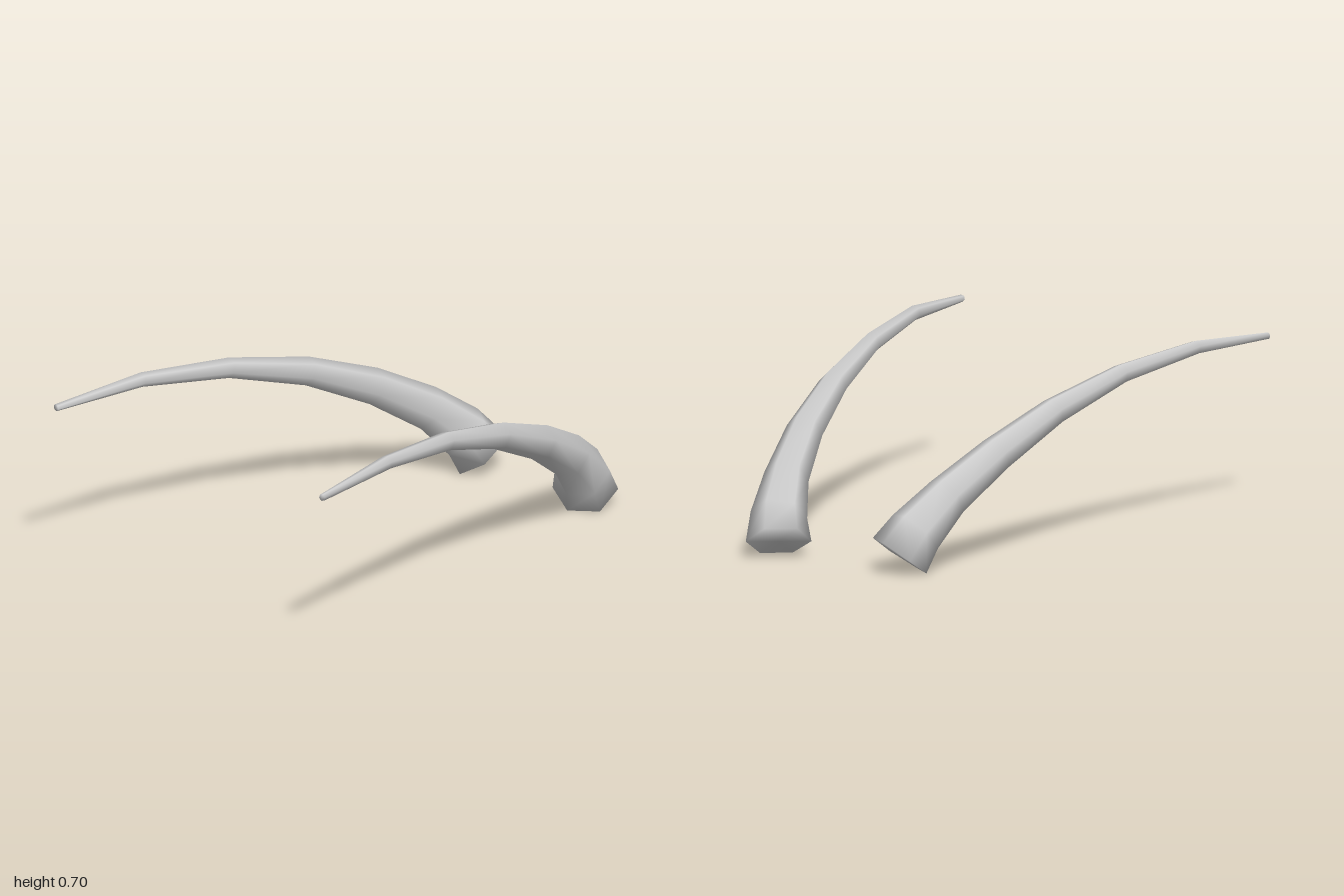
import * as THREE from 'three';

const SIDES = 6;

// Ring centres from the thick root to the slim tip, with the radius of each: x, y, z, r
const RINGS = [
  [0.275, 0.06, -0.895, 0.125],
  [0.31, 0.15, -0.84, 0.108],
  [0.365, 0.27, -0.705, 0.086],
  [0.435, 0.405, -0.475, 0.071],
  [0.5, 0.53, -0.18, 0.055],
  [0.568, 0.625, 0.18, 0.039],
  [0.64, 0.67, 0.585, 0.028],
  [0.695, 0.656, 0.998, 0.014],
];

// Sweeps a hexagon along the ring centres; side is 1 for left, -1 for right
function hornGeometry(side) {
  const centres = RINGS.map(([x, y, z]) => new THREE.Vector3(x, y, z));
  const last = RINGS.length - 1;
  const positions = [];
  const index = [];
  const add = (p) => positions.push(p.x * side, p.y, p.z);
  const face = (a, b, c) => (side > 0 ? index.push(a, b, c) : index.push(a, c, b));

  // Hexagon corners, carried along the curve without twisting
  const u = new THREE.Vector3(-0.78, 0, 0.63);
  centres.forEach((c, k) => {
    const before = centres[Math.max(k - 1, 0)];
    const after = centres[Math.min(k + 1, last)];
    const t = after.clone().sub(before).normalize();
    if (k === 0) t.set(0.37, 0.8, 0.48).normalize();
    u.addScaledVector(t, -u.dot(t)).normalize();
    const v = t.clone().cross(u);
    for (let i = 0; i < SIDES; i++) {
      const a = (i / SIDES) * Math.PI * 2;
      const r = RINGS[k][3];
      const p = c.clone().addScaledVector(u, r * Math.cos(a)).addScaledVector(v, r * Math.sin(a));
      p.y = Math.max(p.y, 0);
      add(p);
    }
  });

  // Side walls
  for (let k = 0; k < last; k++) {
    for (let i = 0; i < SIDES; i++) {
      const a = k * SIDES + i;
      const b = k * SIDES + ((i + 1) % SIDES);
      face(a, b, b + SIDES);
      face(a, b + SIDES, a + SIDES);
    }
  }

  // Root and tip caps share the wall corners, so the shading stays round
  const root = positions.length / 3;
  add(centres[0]);
  add(centres[last]);
  for (let i = 0; i < SIDES; i++) {
    const j = (i + 1) % SIDES;
    face(root, j, i);
    face(root + 1, last * SIDES + i, last * SIDES + j);
  }

  const geometry = new THREE.BufferGeometry();
  geometry.setAttribute('position', new THREE.Float32BufferAttribute(positions, 3));
  geometry.setIndex(index);
  geometry.computeVertexNormals();
  return geometry;
}

export function createModel() {
  const group = new THREE.Group();
  group.name = 'hornPair';
  const material = new THREE.MeshStandardMaterial({ color: 0xcccccc });
  material.name = 'pale grey';

  for (const [name, side] of [['leftHorn', 1], ['rightHorn', -1]]) {
    const horn = new THREE.Mesh(hornGeometry(side), material);
    horn.name = name;
    group.add(horn);
  }
  return group;
}
